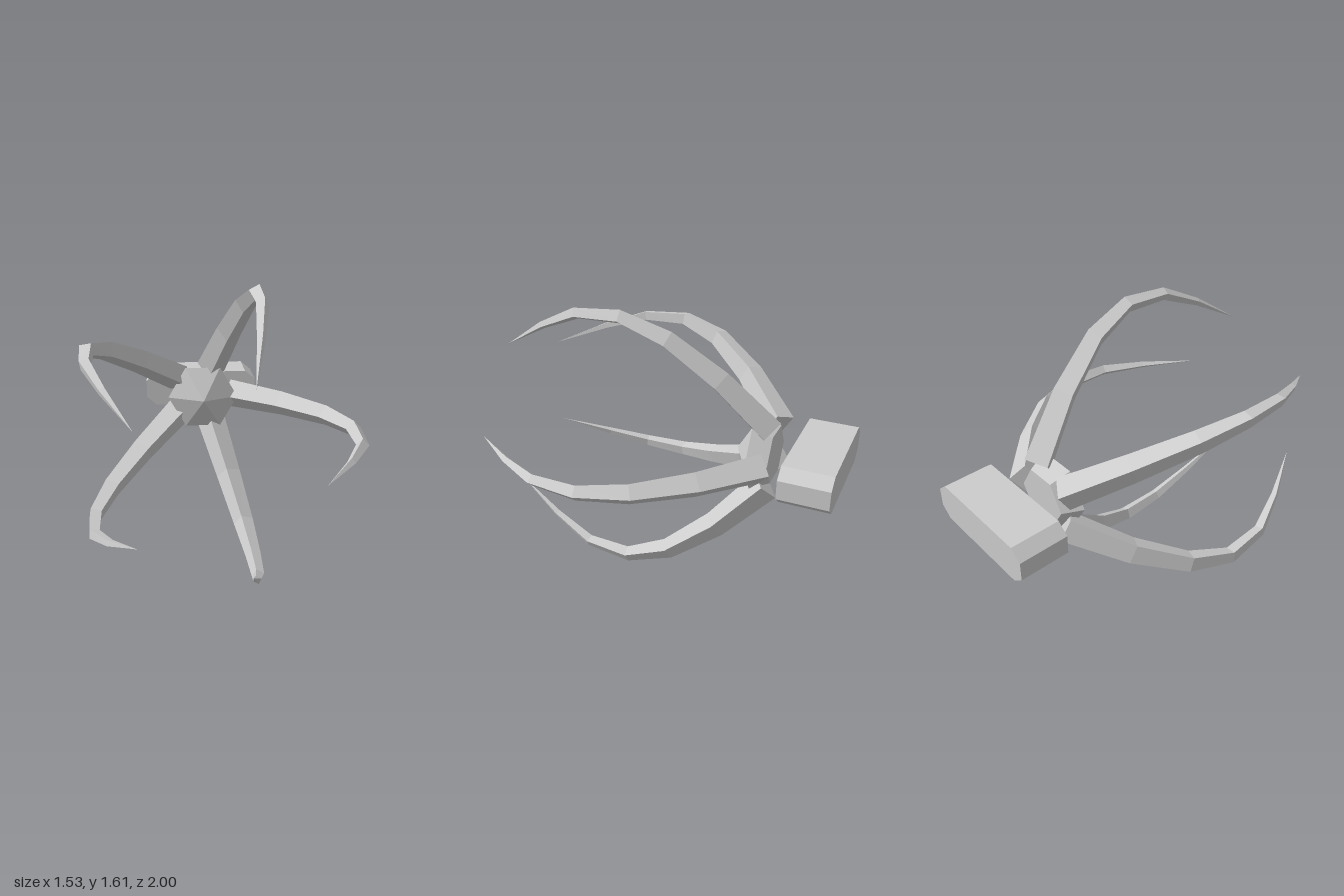
import * as THREE from 'three';

const AXIS_X = -0.08, AXIS_Y = 0.815;

// Curved spike with a tapering diamond section; stations are [radius, z, half width]
function clawGeometry() {
  const stations = [
    [0.186, -0.58, 0.09], [0.48, -0.32, 0.075], [0.70, -0.05, 0.06], [0.80, 0.205, 0.045],
    [0.78, 0.475, 0.035], [0.66, 0.72, 0.022], [0.48, 1.0, 0.0005],
  ];
  const rings = stations.map(([r, z, w], i) => {
    const a = stations[Math.max(i - 1, 0)];
    const b = stations[Math.min(i + 1, stations.length - 1)];
    const t = new THREE.Vector2(b[0] - a[0], b[1] - a[1]).normalize();
    const nx = t.y * w, nz = -t.x * w;
    return [[r + nx, 0, z + nz], [r, w, z], [r - nx, 0, z - nz], [r, -w, z]];
  });
  const pos = [];
  const quad = (a, b, c, d) => pos.push(...a, ...b, ...c, ...a, ...c, ...d);
  for (let i = 0; i < rings.length - 1; i++) {
    for (let j = 0; j < 4; j++) {
      const k = (j + 1) % 4;
      quad(rings[i][j], rings[i][k], rings[i + 1][k], rings[i + 1][j]);
    }
  }
  const [p, q, r, s] = rings[0];
  quad(p, s, r, q); // root cap
  const geo = new THREE.BufferGeometry();
  geo.setAttribute('position', new THREE.Float32BufferAttribute(pos, 3));
  geo.computeVertexNormals();
  return geo;
}

// Chamfered bar, extruded front to back
function barGeometry() {
  const w = 0.36, h = 0.11, cx = 0.065, cy = 0.055;
  const shape = new THREE.Shape([
    [w, -h + cy], [w, h - cy], [w - cx, h], [-w + cx, h],
    [-w, h - cy], [-w, -h + cy], [-w + cx, -h], [w - cx, -h],
  ].map(([x, y]) => new THREE.Vector2(x, y)));
  return new THREE.ExtrudeGeometry(shape, { depth: 0.28, bevelEnabled: false });
}

export function createModel() {
  const model = new THREE.Group();
  model.name = 'clawAssembly';
  const grey = new THREE.MeshStandardMaterial({ color: 0xcccccc, flatShading: true });
  grey.name = 'light grey';

  const add = (name, geo, z = 0) => {
    const mesh = new THREE.Mesh(geo, grey);
    mesh.name = name;
    mesh.position.set(AXIS_X, AXIS_Y, z);
    model.add(mesh);
    return mesh;
  };

  // Six-sided hub with a pointed front and a flat, narrower back
  const profile = [[0, -0.11], [0.165, -0.11], [0.22, 0], [0, 0.11]]
    .map(([x, y]) => new THREE.Vector2(x, y));
  const hub = new THREE.LatheGeometry(profile, 6, Math.PI / 2);
  hub.rotateX(Math.PI / 2);
  add('hub', hub, -0.5);

  // Five claws around the hub
  const claw = clawGeometry();
  for (let i = 0; i < 5; i++) add('claw' + (i + 1), claw).rotation.z = (i * Math.PI * 2) / 5;

  // Separate bar behind the hub
  add('rearBar', barGeometry(), -1.0);

  return model;
}
